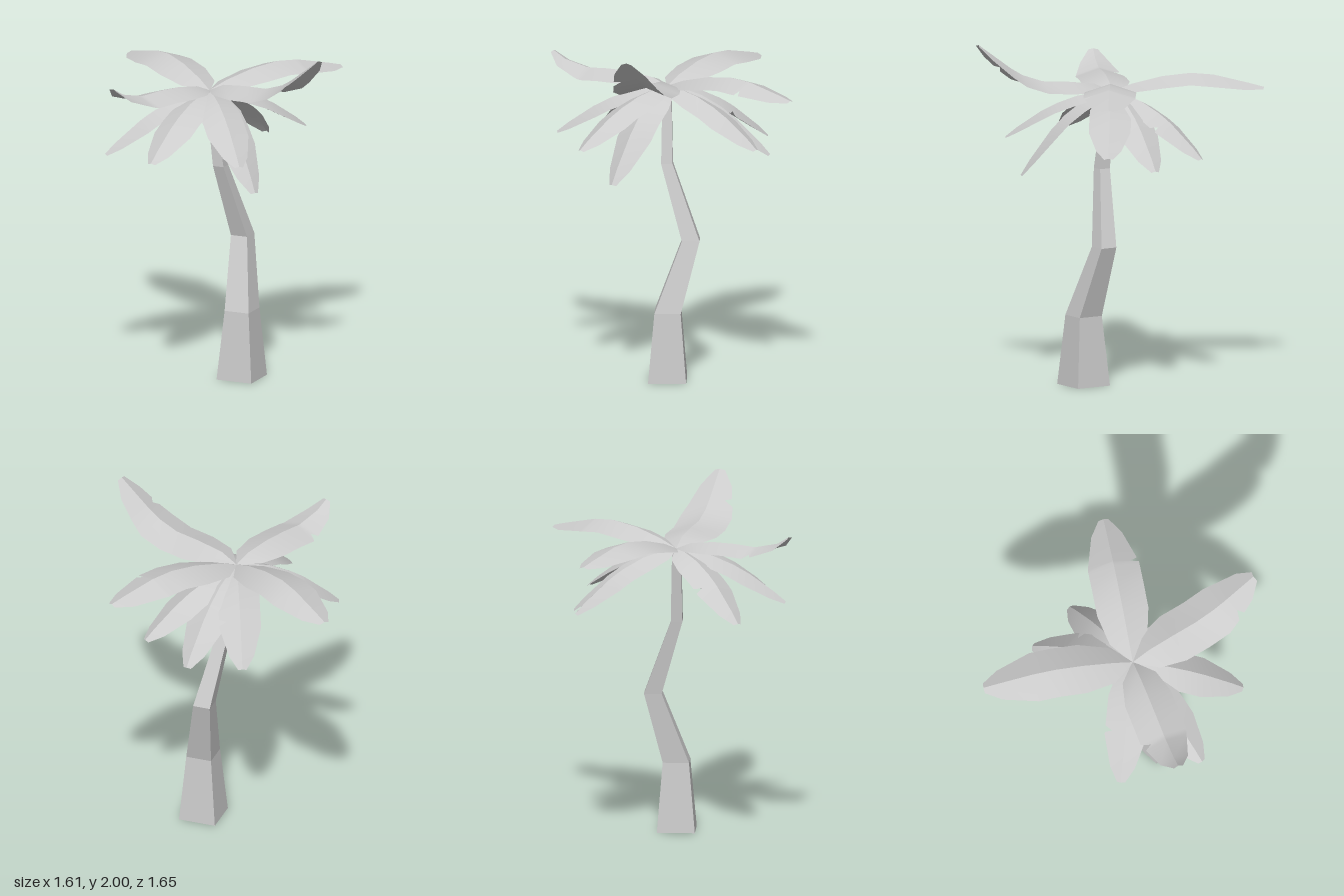
import * as THREE from 'three';
import { toCreasedNormals } from 'three/addons/utils/BufferGeometryUtils.js';

const CROWN = new THREE.Vector3(-0.08, 1.69, 0.055);

// Piecewise-linear lookup in a list of [t, value]
function lookup(table, t) {
  for (let i = 1; i < table.length; i++) {
    const [a, va] = table[i - 1], [b, vb] = table[i];
    if (t <= b) return va + (vb - va) * (t - a) / (b - a);
  }
  return table[table.length - 1][1];
}

// Half width along a leaf, as a fraction of the widest
const WIDTH = [[0, 0.04], [0.13, 0.73], [0.33, 1], [0.67, 1], [0.9, 0.6], [1, 0.2]];

// Height of the midrib above the crown
const ARCH = [[0, 0], [0.13, 0.045], [0.33, 0.09], [0.52, 0.11], [0.67, 0.1], [0.87, 0.06], [1, 0.03]];
const SWEEP = [[0, 0], [0.13, 0.05], [0.33, 0.07], [0.52, 0.08], [0.7, 0.13], [0.9, 0.25], [1, 0.31]];
const LIFT = [[0, 0], [0.13, 0.04], [0.33, 0.06], [0.52, 0.062], [0.7, 0.055], [0.9, 0.09], [1, 0.135]];
const arch = (t) => lookup(ARCH, t);
const sweep = (t) => lookup(SWEEP, t);
const lift = (t) => lookup(LIFT, t);
const droop = (fall) => (t) => -fall * Math.pow(t, 1.9);

// Leaf folded along its midrib, with an optional torn notch in one edge
function makeLeaf({ name, tip: [tx, tz], rise, half, fold, notch }) {
  const run = new THREE.Vector3(tx - CROWN.x, 0, tz - CROWN.z);
  const side = new THREE.Vector3(-run.z, 0, run.x).normalize();
  const ts = [0, 0.13, 0.33, 0.52, 0.67, 0.9, 1];
  if (notch) ts.push(notch - 0.025, notch + 0.005, notch + 0.03);
  ts.sort((a, b) => a - b);

  const spine = (t) => CROWN.clone().addScaledVector(run, t).add(new THREE.Vector3(0, rise(t), 0));
  const rows = ts.map((t) => {
    const mid = spine(t);
    const along = spine(Math.min(1, t + 0.06)).sub(spine(Math.max(0, t - 0.06))).normalize();
    const up = side.clone().cross(along).normalize();
    const w = half * lookup(WIDTH, t);
    const edge = (s, k) => mid.clone().addScaledVector(side, s * w * k).addScaledVector(up, -fold * w * k);
    const torn = notch && Math.abs(t - notch - 0.005) < 1e-6 ? 0.66 : 1;
    return [edge(-1, 1), mid, edge(1, torn)];
  });

  const positions = [];
  const index = [];
  rows.forEach((row, i) => {
    row.forEach((p) => positions.push(p.x, p.y, p.z));
    if (i === 0) return;
    for (let j = 0; j < 2; j++) {
      const a = (i - 1) * 3 + j, b = a + 1, c = b + 3, d = a + 3;
      index.push(a, b, c, a, c, d);
    }
  });
  const geometry = new THREE.BufferGeometry();
  geometry.setAttribute('position', new THREE.Float32BufferAttribute(positions, 3));
  geometry.setIndex(index);
  const mesh = new THREE.Mesh(
    toCreasedNormals(geometry, 0.55),
    new THREE.MeshStandardMaterial({ color: 0xcccccc, side: THREE.DoubleSide })
  );
  mesh.name = name;
  return mesh;
}

// Crooked four-sided trunk: [x, y, z, radius] for each joint, from the ground up
function makeTrunk() {
  const joints = [
    [0.04, 0, 0.215, 0.155],
    [0.042, 0.405, 0.215, 0.107],
    [0.118, 0.815, 0.095, 0.072],
    [-0.04, 1.25, 0.112, 0.047],
    [-0.075, 1.69, 0.065, 0.036],
  ];
  const n = joints.length - 1;
  const geometry = new THREE.CylinderGeometry(1, 1, 1, 4, n);
  geometry.rotateY(-0.18);
  const pos = geometry.attributes.position;
  for (let i = 0; i < pos.count; i++) {
    const [x, y, z, r] = joints[Math.round((pos.getY(i) + 0.5) * n)];
    pos.setXYZ(i, x + pos.getX(i) * r, y, z + pos.getZ(i) * r);
  }
  geometry.computeVertexNormals();
  const mesh = new THREE.Mesh(
    geometry,
    new THREE.MeshStandardMaterial({ color: 0xcccccc, flatShading: true })
  );
  mesh.name = 'trunk';
  return mesh;
}

export function createModel() {
  const model = new THREE.Group();
  model.name = 'palmTree';
  model.add(makeTrunk());

  // Upper crown of wide, spreading leaves
  const upper = new THREE.Group();
  upper.name = 'upperLeaves';
  [
    { name: 'backLeaf', tip: [-0.08, -0.82], rise: arch, half: 0.15 },
    { name: 'leftLeaf', tip: [0.8, 0.055], rise: arch, half: 0.15, notch: 0.67 },
    { name: 'frontLeaf', tip: [0.19, 0.815], rise: sweep, half: 0.155, notch: 0.78 },
    { name: 'rightLeaf', tip: [-0.8, 0.18], rise: lift, half: 0.14, notch: 0.7 },
  ].forEach((leaf) => upper.add(makeLeaf({ fold: 0.33, ...leaf })));

  // Lower ring of drooping leaves
  const lower = new THREE.Group();
  lower.name = 'lowerLeaves';
  [
    { tip: [0.56, 0.06], fall: 0.29 },
    { tip: [0.46, -0.21], fall: 0.38 },
    { tip: [0.25, -0.47], fall: 0.34, notch: 0.62 },
    { tip: [-0.67, -0.13], fall: 0.34, notch: 0.62 },
    { tip: [-0.65, 0.35], fall: 0.29 },
    { tip: [-0.25, 0.67], fall: 0.29 },
    { tip: [-0.09, 0.58], fall: 0.49 },
  ].forEach(({ tip, fall, notch }, i) => lower.add(makeLeaf({
    name: `droopingLeaf${i + 1}`, tip, notch, rise: droop(fall), half: 0.12, fold: 0.4,
  })));

  model.add(upper, lower);
  return model;
}
